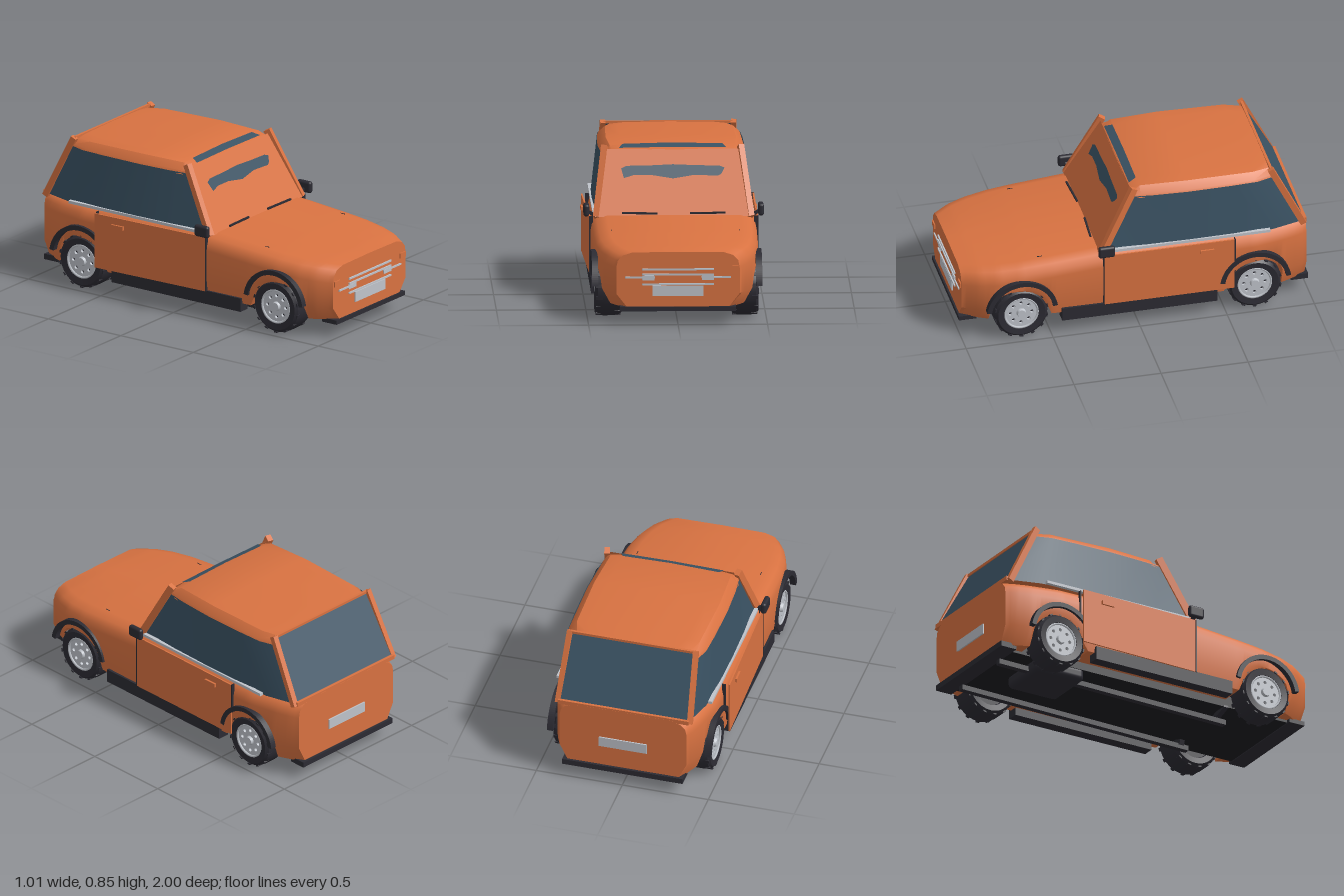
import * as THREE from 'three';
import { toCreasedNormals } from 'three/addons/utils/BufferGeometryUtils.js';
import { RoundedBoxGeometry } from 'three/addons/geometries/RoundedBoxGeometry.js';

const mat = (name, color, side = THREE.FrontSide) => {
  const m = new THREE.MeshStandardMaterial({ color, side });
  m.name = name;
  return m;
};

export function createModel() {
  const car = new THREE.Group();
  car.name = 'car';
  const paint = mat('orange paint', 0xd87241, THREE.DoubleSide);
  const glass = mat('tinted glass', 0x3a5263, THREE.DoubleSide);
  const rubber = mat('dark trim', 0x2c2b33);
  const under = mat('underbody black', 0x1c1c20);
  const metal = mat('light metal', 0xbfc3ca);

  const add = (name, geo, material, x = 0, y = 0, z = 0, parent = car) => {
    const m = new THREE.Mesh(geo, material);
    m.name = name;
    m.position.set(x, y, z);
    parent.add(m);
    return m;
  };
  // Box given by its extents
  const box = (name, material, x0, x1, y0, y1, z0, z1, parent = car) =>
    add(name, new THREE.BoxGeometry(Math.abs(x1 - x0), y1 - y0, Math.abs(z1 - z0)), material,
      (x0 + x1) / 2, (y0 + y1) / 2, (z0 + z1) / 2, parent);
  // Square bar between two points
  const bar = (name, material, a, b, w, d) => {
    const p = new THREE.Vector3(...a), q = new THREE.Vector3(...b);
    const m = add(name, new THREE.BoxGeometry(w, d, p.distanceTo(q)), material);
    m.position.copy(p).add(q).multiplyScalar(0.5);
    m.lookAt(q);
    return m;
  };
  // Surface through rows of points
  const sheet = (rows, crease = 0.6) => {
    const n = rows[0].length, idx = [];
    for (let i = 0; i < rows.length - 1; i++) {
      for (let j = 0; j < n - 1; j++) {
        const a = i * n + j, b = a + n;
        idx.push(a, b, a + 1, a + 1, b, b + 1);
      }
    }
    const g = new THREE.BufferGeometry();
    g.setAttribute('position', new THREE.Float32BufferAttribute(rows.flat(2), 3));
    g.setIndex(idx);
    g.computeVertexNormals();
    return toCreasedNormals(g, crease);
  };
  // Linear lookup in [z, value] pairs, z descending
  const at = (table, z) => {
    for (let i = 0; i < table.length - 1; i++) {
      const [z0, v0] = table[i], [z1, v1] = table[i + 1];
      if (z >= z1) return v0 + (v1 - v0) * (z0 - z) / (z0 - z1);
    }
    return table[table.length - 1][1];
  };

  // Lower body: cross-sections along z, with the underside lifted over the wheels
  const AXLE = 0.67;
  const widths = [[0.99, 0.345], [0.9, 0.4], [0.8, 0.435], [0.67, 0.455], [0.5, 0.462], [0.2, 0.465],
    [-0.3, 0.465], [-0.67, 0.457], [-0.85, 0.42], [-0.93, 0.395], [-0.985, 0.37]];
  const tops = [[0.99, 0.415], [0.9, 0.428], [0.6, 0.458], [0.2, 0.49], [-0.985, 0.492]];
  const lows = [[0.99, 0.82], [0.82, 0.9], [0.6, 0.97], [-0.7, 0.97], [-0.985, 0.86]];
  const section = (z) => {
    const w = at(widths, z), t = at(tops, z), d = Math.abs(Math.abs(z) - AXLE);
    const b = d < 0.155 ? 0.155 + 0.78 * Math.sqrt(0.155 ** 2 - d * d) : Math.abs(z) < AXLE ? 0.13 : 0.1;
    const side = [[0, t], [w - 0.09, t - 0.003], [w - 0.035, t - 0.02], [w - 0.008, t - 0.05], [w, t - 0.09],
      [w, b + 0.35 * (t - 0.09 - b)], [w * at(lows, z), b], [0, b]];
    return [...side.map(([x, y]) => [x, y, z]), ...side.slice(0, -1).reverse().map(([x, y]) => [-x, y, z])];
  };
  const rows = [];
  for (let i = 0; i <= 80; i++) rows.push(section(0.99 - 1.975 * i / 80));
  const cap = (r) => r.map(([, , z]) => [0, 0.28, z]);
  add('body', sheet([cap(rows[0]), ...rows, cap(rows[80])]), paint);
  box('floorPan', under, -0.3, 0.3, 0.085, 0.25, -0.92, 0.92);

  // Roof: domed cross-sections along z
  const roof = [[0.025, 0.385, 0.826], [-0.03, 0.395, 0.852], [-0.3, 0.41, 0.854], [-0.68, 0.402, 0.849],
    [-0.785, 0.37, 0.844]].map(([z, w, t]) => {
    const half = [[w, 0.785], [w - 0.008, 0.805], [w - 0.045, t - 0.012], [w - 0.12, t - 0.004]];
    return [...half.map(([x, y]) => [-x, y, z]), [0, t, z], ...half.reverse().map(([x, y]) => [x, y, z])];
  });
  add('roof', sheet(roof), paint);
  add('roofFrontGlass', sheet([
    [[-0.3, 0.835, 0.018], [0, 0.839, 0.018], [0.3, 0.835, 0.018]],
    [[-0.28, 0.85, -0.026], [0, 0.857, -0.026], [0.28, 0.85, -0.026]]]), glass);

  // Windscreen surround and the glass strip on it
  add('windscreenPanel', sheet([
    [[-0.44, 0.48, 0.222], [0.44, 0.48, 0.222]],
    [[-0.375, 0.828, 0.022], [0.375, 0.828, 0.022]]]), paint);
  const onScreen = (x, y) => [x, y, 0.228 - (y - 0.48) * 0.575];
  add('windscreenGlass', sheet([
    [[-0.275, 0.68], [-0.22, 0.695], [-0.12, 0.695], [0, 0.677], [0.12, 0.695], [0.25, 0.69], [0.27, 0.7]],
    [[-0.29, 0.73], [-0.26, 0.743], [-0.12, 0.745], [0, 0.75], [0.12, 0.745], [0.26, 0.742], [0.288, 0.732]],
  ].map((r) => r.map(([x, y]) => onScreen(x, y)))), glass);
  add('rearWindow', sheet([
    [[-0.375, 0.49, -0.975], [0.375, 0.49, -0.975]],
    [[-0.36, 0.84, -0.783], [0.36, 0.84, -0.783]]]), glass);
  bar('rearWindowTopFrame', paint, [-0.36, 0.84, -0.785], [0.36, 0.84, -0.785], 0.015, 0.015);
  bar('rearWindowSill', paint, [-0.38, 0.49, -0.972], [0.38, 0.49, -0.972], 0.025, 0.025);

  // Wheel geometries, spinning about x after rotation
  const tyreGeo = toCreasedNormals(new THREE.LatheGeometry([[0.095, -0.06], [0.1, -0.07], [0.135, -0.075],
    [0.15, -0.06], [0.155, -0.03], [0.155, 0.03], [0.15, 0.06], [0.135, 0.075], [0.1, 0.07], [0.095, 0.06]]
    .map(([r, y]) => new THREE.Vector2(r, y)), 40), 0.5);
  const disc = new THREE.Shape().absarc(0, 0, 0.098, 0, Math.PI * 2);
  for (let i = 0; i < 8; i++) {
    const a = i * Math.PI / 4;
    disc.holes.push(new THREE.Path().absarc(0.062 * Math.cos(a), 0.062 * Math.sin(a), 0.01, 0, Math.PI * 2, true));
  }
  const rimGeo = new THREE.ExtrudeGeometry(disc, { depth: 0.015, bevelEnabled: false, curveSegments: 24 });
  const flare = new THREE.Shape();
  flare.absarc(0, 0, 0.205, 0.15, Math.PI - 0.15, false);
  flare.absarc(0, 0, 0.178, Math.PI - 0.15, 0.15, true);
  const flareGeo = new THREE.ExtrudeGeometry(flare, { depth: 0.035, bevelEnabled: false, curveSegments: 24 });

  for (const s of [1, -1]) {
    const side = s > 0 ? 'left' : 'right';
    // Side glass, bulging outwards
    const low = [[0.2, 0.425], [-0.05, 0.44], [-0.3, 0.445], [-0.55, 0.442], [-0.78, 0.425], [-0.96, 0.375]];
    const high = [[0.03, 0.385], [-0.1, 0.4], [-0.3, 0.41], [-0.55, 0.407], [-0.7, 0.4], [-0.81, 0.365]];
    add(side + 'SideGlass', sheet([low.map(([z, x]) => [s * x, 0.485, z]),
      high.map(([z, x]) => [s * x, 0.795, z])]), glass);
    bar(side + 'FrontPillar', paint, [s * 0.432, 0.475, 0.205], [s * 0.38, 0.845, 0.01], 0.032, 0.04);
    bar(side + 'RearPillar', paint, [s * 0.383, 0.475, -0.965], [s * 0.365, 0.845, -0.78], 0.03, 0.035);
    box(side + 'BeltTrim', metal, s * 0.43, s * 0.452, 0.484, 0.5, -0.76, 0.17);

    // Door, hinged at its front edge; the right one stands slightly off the body
    const door = new THREE.Group();
    door.name = side + 'Door';
    door.position.set(s * 0.464, 0, 0.2);
    door.rotation.y = s > 0 ? 0 : 0.03;
    car.add(door);
    box('doorPanel', paint, 0, s * 0.009, 0.16, 0.478, -0.748, -0.003, door);
    box('doorHandle', paint, 0, s * 0.02, 0.415, 0.437, -0.63, -0.55, door);
    box(side + 'DoorFrontSeam', rubber, s * 0.45, s * 0.474, 0.16, 0.48, 0.198, 0.204);
    box(side + 'DoorRearSeam', rubber, s * 0.45, s * 0.472, 0.3, 0.48, -0.555, -0.549);
    box(side + 'Sill', rubber, s * 0.4, s * 0.468, 0.085, 0.163, -0.45, 0.44);

    // Mirror, wiper and exhaust pipe
    add(side + 'Mirror', new RoundedBoxGeometry(0.032, 0.068, 0.095, 3, 0.014), rubber, s * 0.488, 0.517, 0.19);
    bar(side + 'MirrorStalk', rubber, [s * 0.435, 0.48, 0.19], [s * 0.485, 0.51, 0.19], 0.018, 0.018);
    bar(side + 'Wiper', rubber, [s * 0.09, 0.498, 0.222], [s * 0.29, 0.503, 0.236], 0.01, 0.01);
    bar(side + 'UnderRail', rubber, [s * 0.2, 0.035, 0.55], [s * 0.2, 0.055, -0.93], 0.035, 0.03);
    bar(side + 'RailBracket', rubber, [s * 0.3, 0.095, 0.5], [s * 0.17, 0.055, 0.5], 0.03, 0.03);

    // Wheels and arch flares
    for (const z of [AXLE, -AXLE]) {
      const wheel = new THREE.Group();
      wheel.name = side + (z > 0 ? 'FrontWheel' : 'RearWheel');
      wheel.position.set(s * 0.382, 0.158, z);
      wheel.rotation.y = s * Math.PI / 2;
      car.add(wheel);
      add('tyre', tyreGeo, rubber, 0, 0, 0, wheel).rotation.x = Math.PI / 2;
      add('rim', rimGeo, metal, 0, 0, 0.045, wheel);
      add('rimBack', new THREE.CylinderGeometry(0.1, 0.1, 0.1, 24), rubber, 0, 0, -0.008, wheel).rotation.x = Math.PI / 2;
      add('rimLip', new THREE.TorusGeometry(0.095, 0.007, 6, 32), metal, 0, 0, 0.064, wheel);
      add('hub', new THREE.CylinderGeometry(0.022, 0.028, 0.016, 16), metal, 0, 0, 0.067, wheel).rotation.x = Math.PI / 2;
      for (let i = 0; i < 28; i++) {
        const a = i * Math.PI / 14;
        const lug = add('treadBlock', new THREE.BoxGeometry(0.008, 0.02, 0.05), rubber,
          0.15 * Math.cos(a), 0.15 * Math.sin(a), i % 2 ? 0.045 : -0.045, wheel);
        lug.rotation.z = a;
      }
      const f = add(side + 'WheelArch', flareGeo, rubber, s * 0.441, 0.168, z);
      f.rotation.y = s * Math.PI / 2;
    }

    // Front face details
    box(side + 'Headlamp', paint, s * 0.285, s * 0.338, 0.304, 0.334, 0.98, 0.997);
    box(side + 'GrilleWing', metal, s * 0.13, s * 0.295, 0.266, 0.276, 0.98, 0.997);
    box(side + 'GrilleBlock', metal, s * 0.133, s * 0.2, 0.255, 0.28, 0.98, 0.996);
    box(side + 'BonnetSeam', rubber, s * 0.358, s * 0.361, 0.445, 0.462, 0.53, 0.56);
  }

  for (const y of [0.316, 0.287, 0.232]) box('grilleBar', metal, -0.2, 0.2, y - 0.005, y + 0.005, 0.98, 0.998);
  box('frontPlate', metal, -0.143, 0.143, 0.165, 0.224, 0.98, 0.998);
  box('rearPlate', metal, -0.14, 0.14, 0.24, 0.3, -0.993, -0.98);
  box('frontBumper', rubber, -0.325, 0.325, 0.08, 0.105, 0.9, 1.0);
  box('rearBumper', rubber, -0.35, 0.35, 0.08, 0.112, -1.0, -0.9);
  add('fuelTank', new RoundedBoxGeometry(0.32, 0.08, 0.32, 3, 0.03), rubber, -0.14, 0.06, -0.58);
  return car;
}
